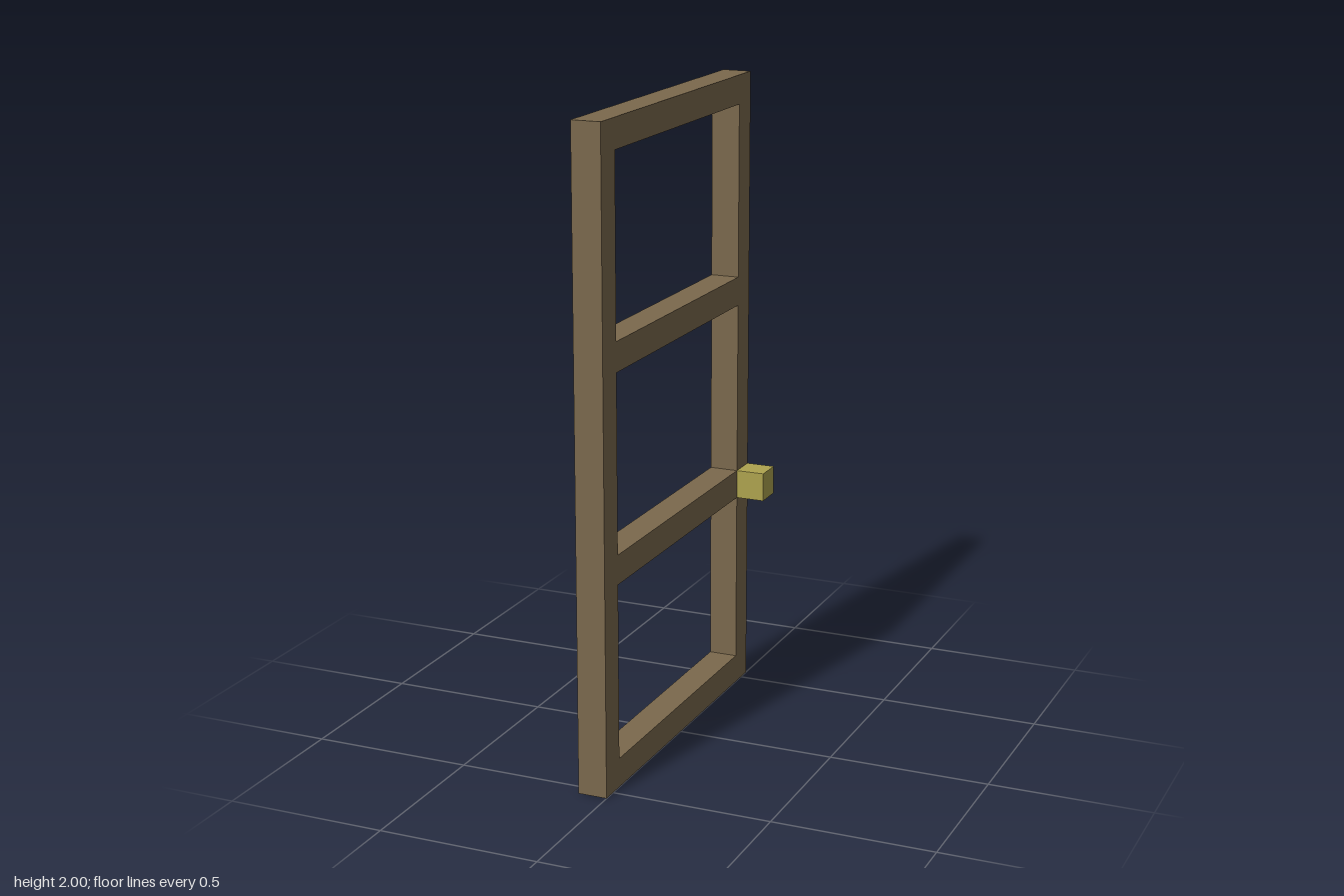
import * as THREE from 'three';

const U = 1 / 11;              // bar thickness
const HEIGHT = 22 * U, WIDTH = 12 * U;

// Traces a rectangle on a Shape or Path
function rect(path, x0, y0, x1, y1) {
  path.moveTo(x0, y0);
  path.lineTo(x1, y0);
  path.lineTo(x1, y1);
  path.lineTo(x0, y1);
  path.closePath();
  return path;
}

export function createModel() {
  const group = new THREE.Group();
  group.name = 'door';
  const wood = new THREE.MeshStandardMaterial({ color: 0x7b694d });
  const brass = new THREE.MeshStandardMaterial({ color: 0xaea34f });

  // Frame: one slab with three equal openings between four rails
  const half = WIDTH / 2;
  const outline = rect(new THREE.Shape(), -half, 0, half, HEIGHT);
  for (let i = 0; i < 3; i++) {
    const bottom = (1 + 7 * i) * U;
    outline.holes.push(rect(new THREE.Path(), -half + U, bottom, half - U, bottom + 6 * U));
  }
  const frameGeometry = new THREE.ExtrudeGeometry(outline, { depth: U, bevelEnabled: false });
  frameGeometry.rotateY(-Math.PI / 2); // slab spans x = -U to 0
  const frame = new THREE.Mesh(frameGeometry, wood);
  frame.name = 'doorFrame';
  group.add(frame);

  // Cube handle on the rear stile, level with the lower middle rail
  const handle = new THREE.Mesh(new THREE.BoxGeometry(U, U, U), brass);
  handle.name = 'doorHandle';
  handle.position.set(U / 2, 7.5 * U, -half + U / 2);
  group.add(handle);

  return group;
}
